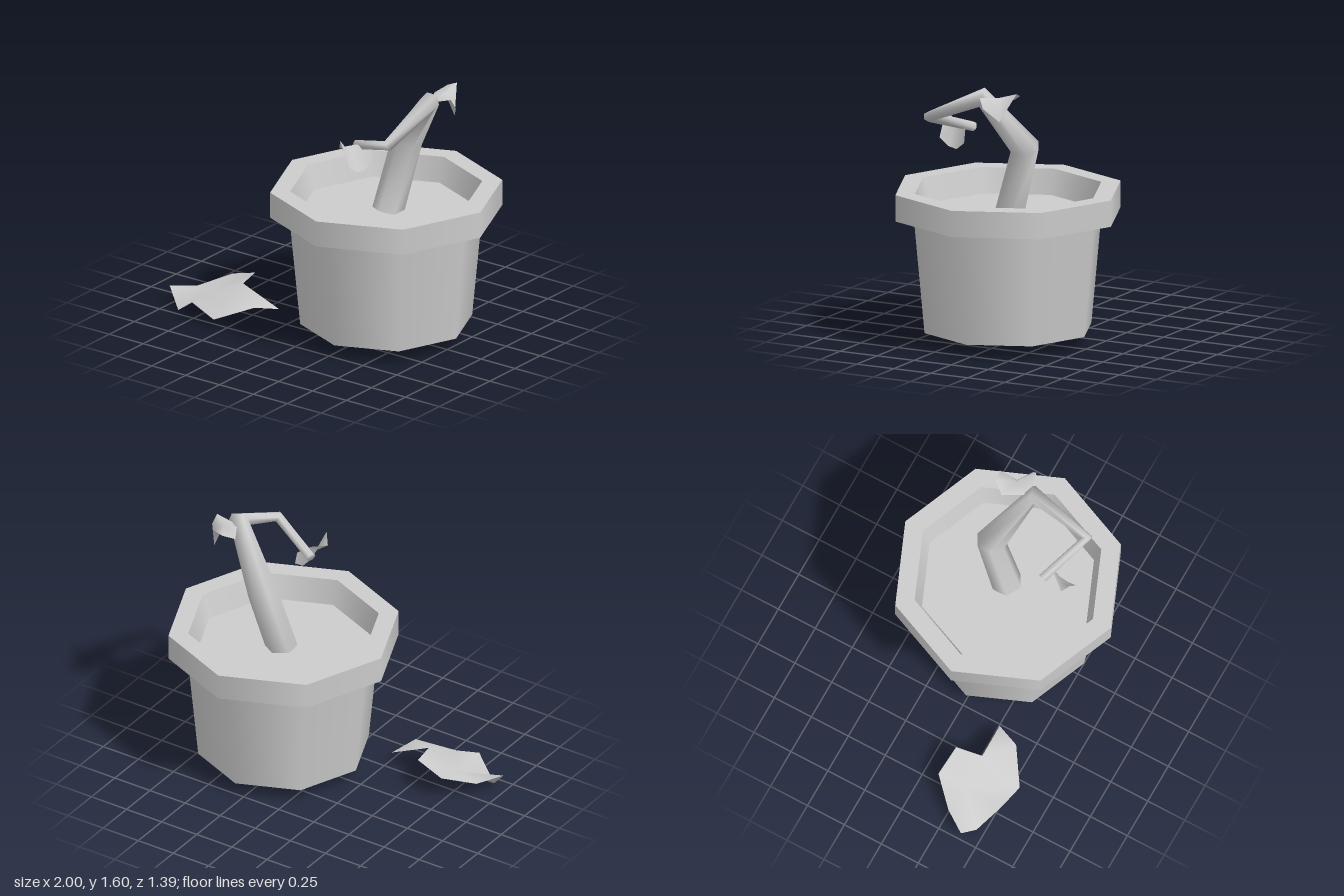
import * as THREE from 'three';

const grey = new THREE.MeshStandardMaterial({ color: 0xcccccc, side: THREE.DoubleSide });
grey.name = 'grey';

function mesh(name, geometry) {
  const m = new THREE.Mesh(geometry, grey);
  m.name = name;
  return m;
}

function surface(points, index) {
  const g = new THREE.BufferGeometry();
  g.setAttribute('position', new THREE.Float32BufferAttribute(points.flat(), 3));
  g.setIndex(index);
  g.computeVertexNormals();
  return g;
}

// One eight-sided band of the pot between two [radius, y] points
function band(name, a, b) {
  return mesh(name, new THREE.LatheGeometry([new THREE.Vector2(...a), new THREE.Vector2(...b)], 8));
}

// Tapering limb: a ring of vertices at each [x, y, z, radius] joint
function limb(name, joints, sides = 6) {
  const centres = joints.map(j => new THREE.Vector3(j[0], j[1], j[2]));
  const dirs = centres.slice(1).map((c, i) => c.clone().sub(centres[i]).normalize());
  const q = new THREE.Quaternion();
  let previous = new THREE.Vector3(0, 1, 0);
  const points = [], index = [];
  joints.forEach((j, i) => {
    const t = new THREE.Vector3();
    if (i > 0) t.add(dirs[i - 1]);
    if (i < dirs.length) t.add(dirs[i]);
    t.normalize();
    q.premultiply(new THREE.Quaternion().setFromUnitVectors(previous, t));
    previous = t;
    for (let k = 0; k < sides; k++) {
      const a = (k / sides) * Math.PI * 2;
      const p = new THREE.Vector3(Math.sin(a) * j[3], 0, Math.cos(a) * j[3]);
      points.push(p.applyQuaternion(q).add(centres[i]).toArray());
      if (i > 0) {
        const n = (k + 1) % sides, lo = (i - 1) * sides, hi = i * sides;
        index.push(lo + k, lo + n, hi + n, lo + k, hi + n, hi + k);
      }
    }
  });
  // Closed tip
  const last = (joints.length - 1) * sides;
  for (let k = 1; k < sides - 1; k++) index.push(last, last + k, last + k + 1);
  return mesh(name, surface(points, index));
}

// Crumpled leaf: outline fanned around a centre point
function leaf(name, centre, outline) {
  const n = outline.length, index = [];
  for (let i = 0; i < n; i++) index.push(0, i + 1, ((i + 1) % n) + 1);
  return mesh(name, surface([centre, ...outline], index));
}

export function createModel() {
  const model = new THREE.Group();
  model.name = 'wiltedPottedPlant';

  // Pot: walls, overhanging rim and soil, following one profile
  const pot = new THREE.Group();
  pot.name = 'pot';
  pot.position.x = 0.3;
  const profile = [
    [0, 0.09], [0.515, 0.09], [0.58, 0.78], [0.695, 0.78],
    [0.695, 0.94], [0.575, 0.94], [0.53, 0.79], [0, 0.79],
  ];
  const names = ['potBase', 'potWall', 'rimUnderside', 'rimSide', 'rimTop', 'rimInside', 'soil'];
  names.forEach((name, i) => pot.add(band(name, profile[i], profile[i + 1])));
  model.add(pot);

  // Bent, drooping stem
  model.add(limb('stem', [
    [0.305, 0.78, -0.01, 0.095],
    [0.35, 1.21, -0.145, 0.092],
    [0.62, 1.555, 0, 0.06],
    [0.59, 1.39, 0.375, 0.034],
    [0.27, 1.28, 0.25, 0.03],
  ]));

  // Leaf hanging from the stem tip
  model.add(leaf('hangingLeaf', [0.31, 1.26, 0.36], [
    [0.28, 1.365, 0.43], [0.35, 1.21, 0.435], [0.36, 1.165, 0.37], [0.37, 1.155, 0.31],
    [0.385, 1.2, 0.25], [0.37, 1.28, 0.25], [0.31, 1.31, 0.31], [0.245, 1.3, 0.39],
  ]));

  // Leaf at the top bend
  model.add(leaf('upperLeaf', [0.64, 1.57, -0.13], [
    [0.61, 1.54, -0.03], [0.53, 1.54, -0.17], [0.58, 1.58, -0.235], [0.64, 1.605, -0.245],
    [0.69, 1.435, -0.155], [0.755, 1.52, -0.08], [0.74, 1.58, -0.05],
  ]));

  // Fallen leaf, creased between points 0 and 1
  const fallen = [
    [-0.74, 0.12, 0.28], [-0.54, 0.21, 0.29], [-0.57, 0.22, 0.13], [-0.75, 0.165, 0.11],
    [-0.9, 0.1, 0.26], [-1, 0.12, 0.4], [-0.9, 0.005, 0.45], [-0.74, 0.12, 0.53],
    [-0.56, 0.06, 0.555], [-0.36, 0.14, 0.42], [-0.29, 0.1, 0.27],
  ];
  const index = [];
  for (let i = 1; i < 8; i++) index.push(0, i, i + 1);
  index.push(0, 8, 1, 1, 8, 9, 1, 9, 10);
  model.add(mesh('fallenLeaf', surface(fallen, index.reverse())));

  return model;
}
